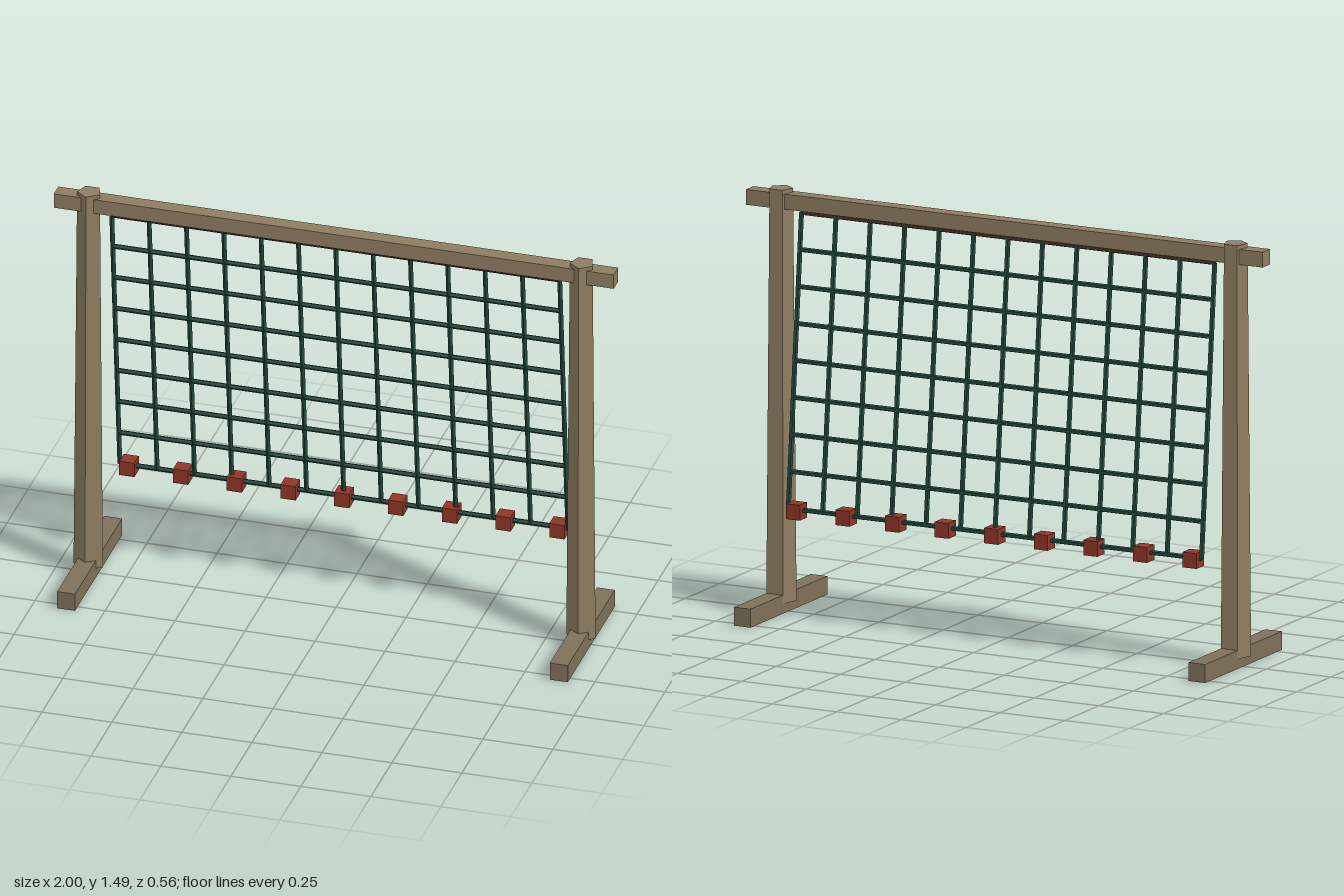
import * as THREE from 'three';

const material = (color) => new THREE.MeshStandardMaterial({ color, flatShading: true });

export function createModel() {
  const model = new THREE.Group();
  const wood = material(0x8f7d62);
  const footWood = material(0x7f715a);
  const rope = material(0x24493d);
  const topRope = material(0x4a3029);
  const red = material(0x8f3628);

  const add = (name, geometry, mat, x, y, z, parent = model) => {
    const mesh = new THREE.Mesh(geometry, mat);
    mesh.name = name;
    mesh.position.set(x, y, z);
    parent.add(mesh);
    return mesh;
  };

  // Five-sided tapered posts standing on cross feet
  for (const side of [-1, 1]) {
    const label = side > 0 ? 'left' : 'right';
    add(label + 'Post', new THREE.CylinderGeometry(0.043, 0.055, 1.45, 5), wood, side * 0.88, 0.76, 0);
    add(label + 'Foot', new THREE.BoxGeometry(0.064, 0.065, 0.56), footWood, side * 0.88, 0.0325, 0);
  }

  // Top beam through both posts
  add('topBeam', new THREE.BoxGeometry(2, 0.054, 0.054), wood, 0, 1.444, 0);

  // Net slanting backward from under the beam
  const net = new THREE.Group();
  net.name = 'net';
  model.add(net);
  const top = new THREE.Vector2(0, 1.406); // z, y
  const bottom = new THREE.Vector2(-0.096, 0.386);
  const span = top.clone().sub(bottom);
  const centre = top.clone().add(bottom).multiplyScalar(0.5);
  const radius = 0.009;

  const rows = 9;
  const rowGeometry = new THREE.CylinderGeometry(radius, radius, 1.6, 5);
  rowGeometry.rotateZ(Math.PI / 2);
  for (let i = 0; i < rows; i++) {
    const p = bottom.clone().lerp(top, i / (rows - 1));
    add('netRow', rowGeometry, i === rows - 1 ? topRope : rope, 0, p.y, p.x, net);
  }

  const columns = 13;
  const columnGeometry = new THREE.CylinderGeometry(radius, radius, span.length(), 5);
  columnGeometry.rotateX(Math.atan2(span.x, span.y));
  for (let i = 0; i < columns; i++) {
    add('netColumn', columnGeometry, rope, -0.8 + (1.6 * i) / (columns - 1), centre.y, centre.x, net);
  }

  // Weights along the bottom rope
  const weightGeometry = new THREE.BoxGeometry(0.054, 0.054, 0.054);
  for (let i = 0; i < 9; i++) {
    add('weight', weightGeometry, red, (i - 4) * 0.192, 0.382, -0.096);
  }

  return model;
}
